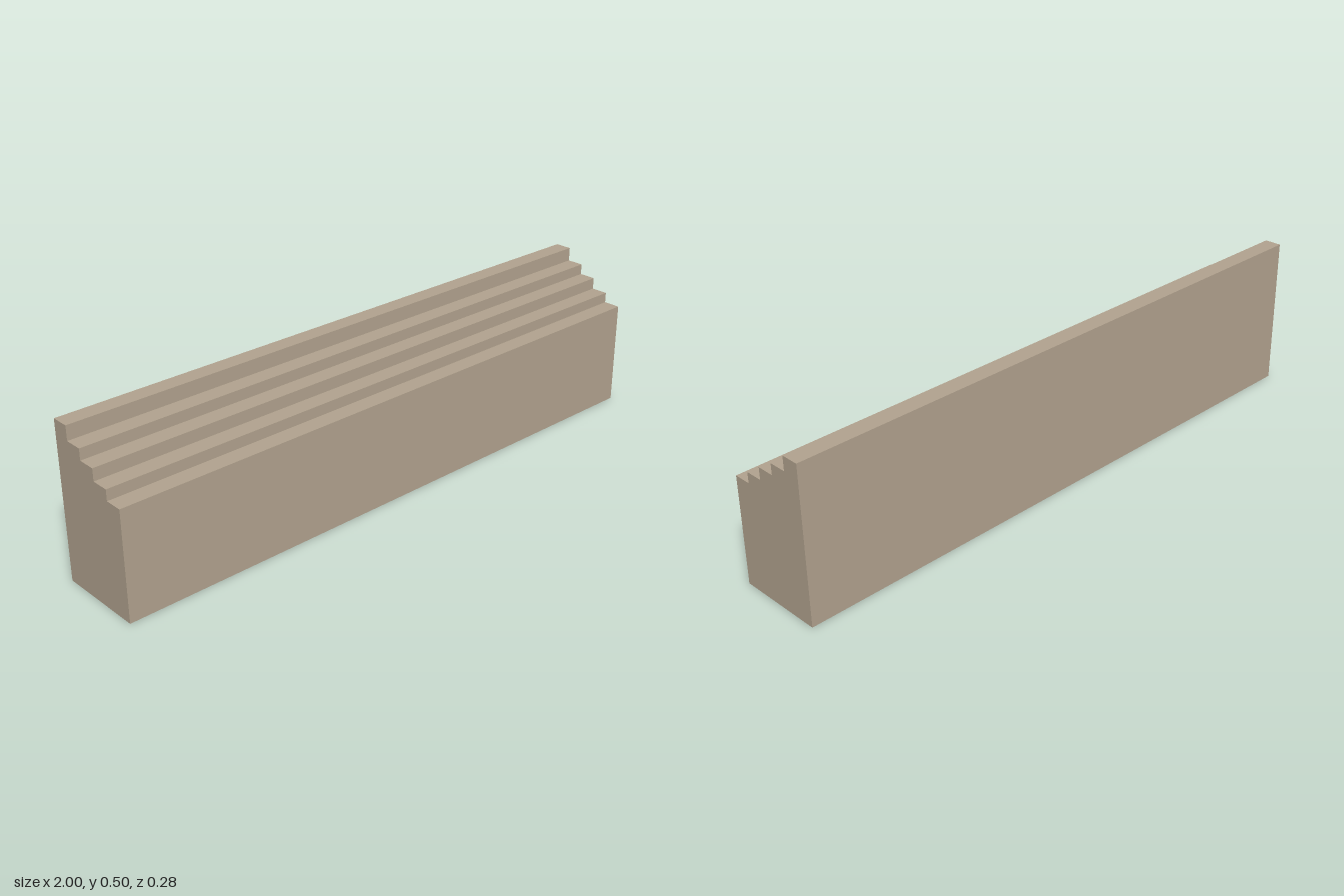
import * as THREE from 'three';

export function createModel() {
  const group = new THREE.Group();
  group.name = 'steppedBlock';

  const stone = new THREE.MeshStandardMaterial({ color: 0xb1a28e });
  stone.name = 'stone';

  // Side profile: flat base, with treads rising from front (+z) to back (-z)
  const length = 2, halfDepth = 0.14;
  const treadHeights = [0.343, 0.377, 0.415, 0.45, 0.495];
  const tread = (2 * halfDepth) / treadHeights.length;

  const profile = new THREE.Shape();
  profile.moveTo(-halfDepth, 0);
  profile.lineTo(halfDepth, 0);
  treadHeights.forEach((y, i) => {
    const front = halfDepth - i * tread;
    profile.lineTo(front, y);
    profile.lineTo(front - tread, y);
  });
  profile.closePath();

  // Extrude along the length, then turn the profile to lie across z
  const geometry = new THREE.ExtrudeGeometry(profile, { depth: length, bevelEnabled: false });
  geometry.translate(0, 0, -length / 2);
  geometry.rotateY(-Math.PI / 2);

  const steps = new THREE.Mesh(geometry, stone);
  steps.name = 'steps';
  group.add(steps);
  return group;
}
